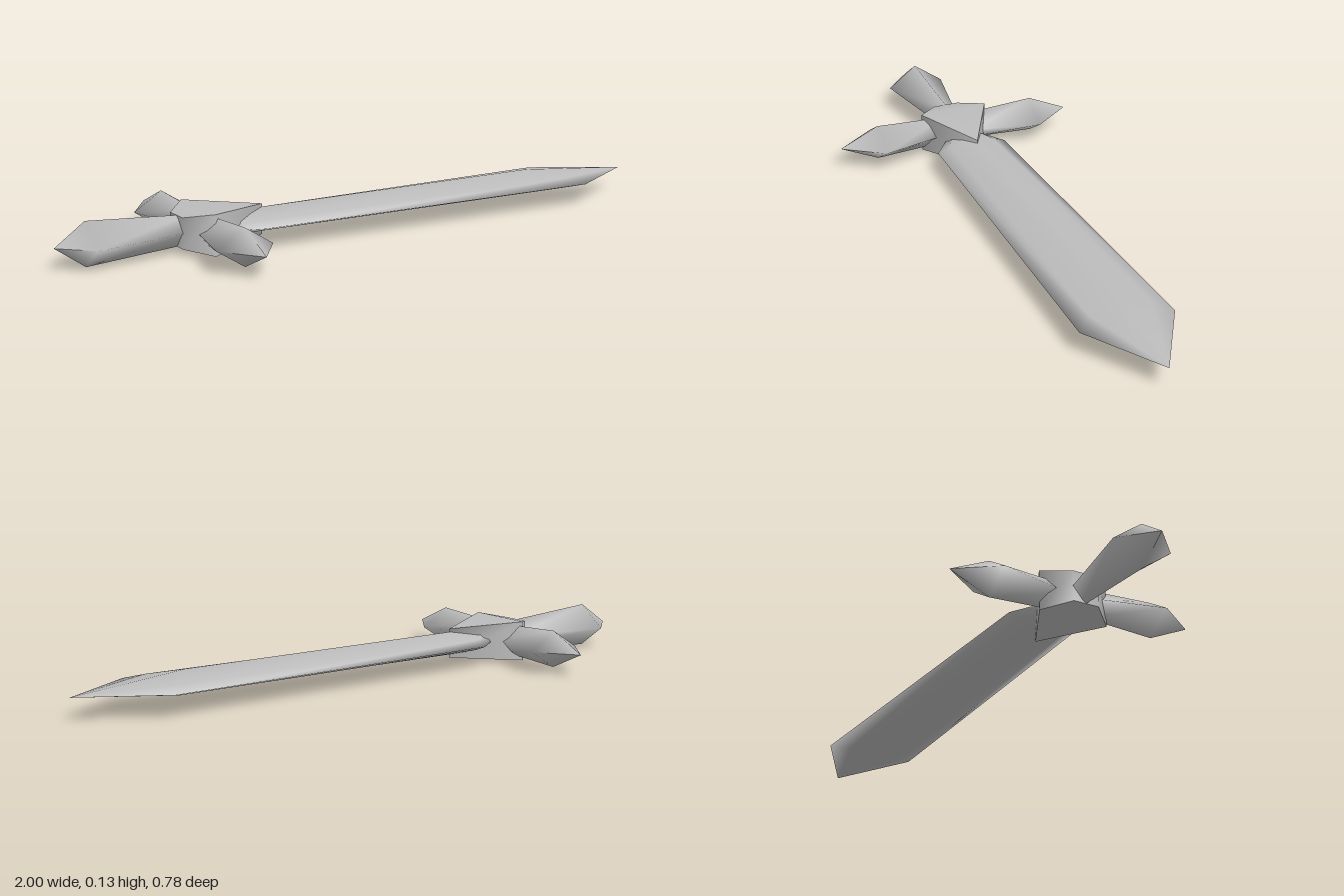
import * as THREE from 'three';

const MID = 0.068; // height of the sword's middle plane
const HUB_X = -0.54; // centre of the cross

// Cross-sections as [height, width] factors, running from the top towards +z
const DIAMOND = [[1, 0], [0, 1], [-1, 0], [0, -1]];
const LENS = [[1, 0], [0.42, 0.65], [0, 1], [-0.42, 0.65], [-1, 0], [-0.42, -0.65], [0, -1], [0.42, -0.65]];

function surface(positions, index) {
  const g = new THREE.BufferGeometry();
  g.setAttribute('position', new THREE.Float32BufferAttribute(positions, 3));
  g.setIndex(index);
  g.computeVertexNormals();
  return g;
}

// Loft along +x; each station is [x, half width, half height, forward shift of the edges]
function loft(section, stations) {
  const n = section.length, pos = [], idx = [];
  for (const [x, w, h, shift = 0] of stations)
    for (const [y, z] of section) pos.push(x + shift * Math.abs(z), y * h, z * w);
  for (let i = 0; i < stations.length - 1; i++)
    for (let k = 0; k < n; k++) {
      const a = i * n + k, b = i * n + (k + 1) % n;
      idx.push(a, b, a + n);
      if (stations[i + 1][1] > 0) idx.push(b, b + n, a + n);
    }
  for (let k = 1; k < n - 1; k++) idx.push(0, k + 1, k); // closed root
  return surface(pos, idx);
}

// Kite-shaped hub: outline points are [x, z, half height], anticlockwise from above
function hubGeometries() {
  const outline = [[0.2, 0, 0.046], [-0.01, -0.11, 0.062], [-0.08, -0.04, 0.047], [-0.08, 0.04, 0.047], [-0.01, 0.11, 0.062]];
  const n = outline.length, walls = [], wallIdx = [], caps = [], capIdx = [];
  outline.forEach(([x, z, h], k) => {
    walls.push(x, h, z, x, -h, z);
    caps.push(x, h, z, x, -h, z);
    const a = 2 * k, b = 2 * ((k + 1) % n);
    wallIdx.push(a, a + 1, b, b, a + 1, b + 1);
  });
  // Caps fold along the line between the two side corners
  for (const [a, b, c] of [[0, 1, 4], [1, 2, 4], [2, 3, 4]]) {
    capIdx.push(2 * a, 2 * b, 2 * c);
    capIdx.push(2 * a + 1, 2 * c + 1, 2 * b + 1);
  }
  return [surface(walls, wallIdx), surface(caps, capIdx)];
}

export function createModel() {
  const steel = new THREE.MeshStandardMaterial({ color: 0xbcbcbc });
  steel.name = 'steel grey';
  const sword = new THREE.Group();
  sword.name = 'sword';

  function add(name, geometry, x, turn = 0) {
    const mesh = new THREE.Mesh(geometry, steel);
    mesh.name = name;
    mesh.position.set(x, MID, 0);
    mesh.rotation.y = turn;
    sword.add(mesh);
  }

  // Blade: the edges carry on further forward than the central ridge
  add('blade', loft(LENS, [
    [-0.5, 0.03, 0.035],
    [-0.39, 0.115, 0.036],
    [0.62, 0.145, 0.036, 0.13],
    [1, 0, 0],
  ]), 0);

  // Hub walls and caps
  const [walls, caps] = hubGeometries();
  add('hubWalls', walls, HUB_X);
  add('hubCaps', caps, HUB_X);

  // Crossguard arms, mirrored front to back
  const arm = loft(DIAMOND, [[0.04, 0.037, 0.045], [0.265, 0.09, 0.057], [0.39, 0, 0]]);
  add('frontGuardArm', arm, HUB_X, -Math.PI / 2);
  add('backGuardArm', arm, HUB_X, Math.PI / 2);

  // Grip flaring into the pommel
  add('grip', loft(DIAMOND, [[0.04, 0.035, 0.044], [0.365, 0.092, 0.067], [0.46, 0, 0]]), HUB_X, Math.PI);

  return sword;
}
